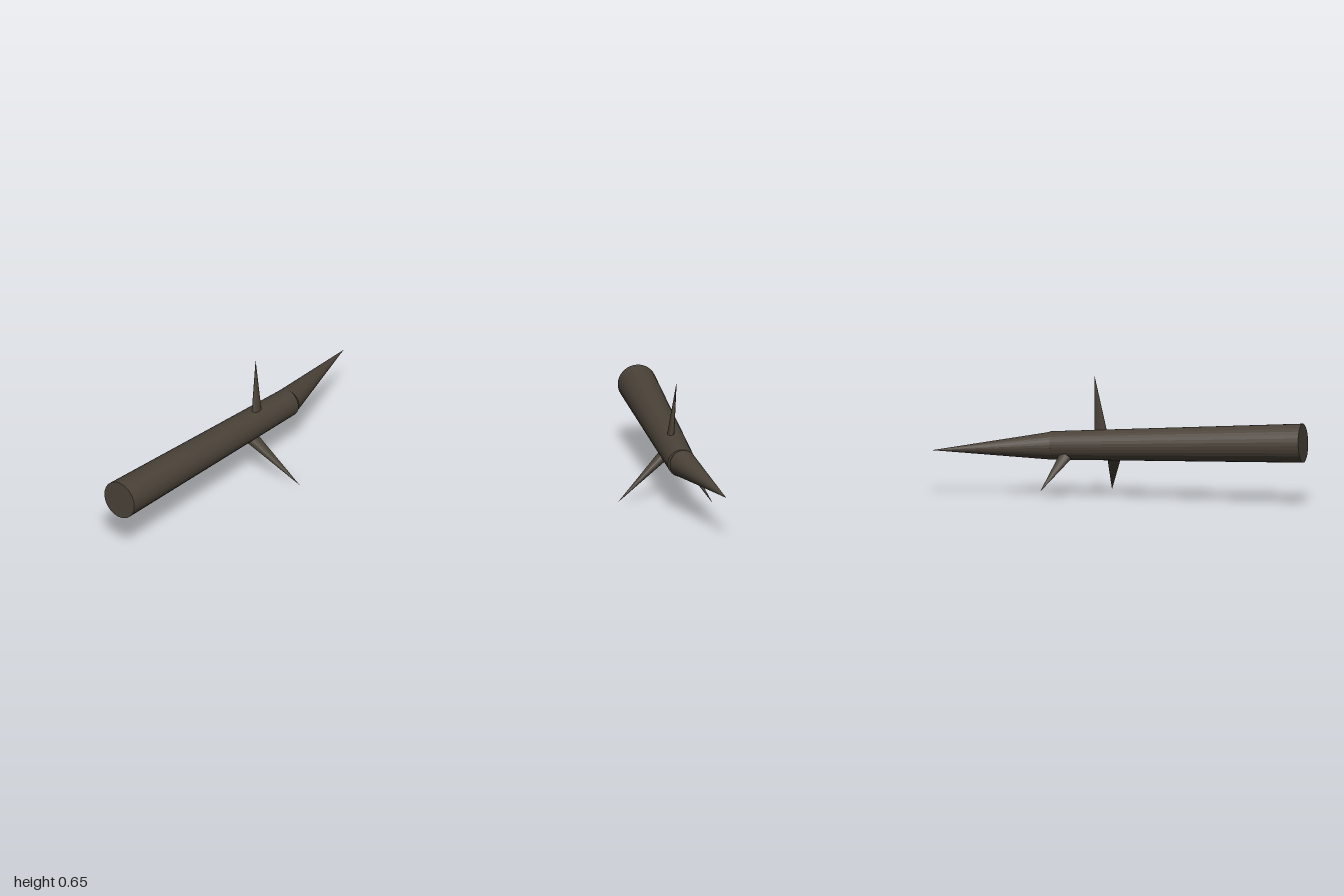
import * as THREE from 'three';

const bark = new THREE.MeshStandardMaterial({ color: 0x4a4238, flatShading: true });
bark.name = 'darkBark';

// Tapered round piece from point a to point b; its section is wide (along x) by deep.
function taper(name, a, b, startRadius, endRadius, sides, depth = 1) {
  const start = new THREE.Vector3(...a);
  const end = new THREE.Vector3(...b);
  const length = start.distanceTo(end);
  const geometry = endRadius > 0
    ? new THREE.CylinderGeometry(endRadius, startRadius, length, sides)
    : new THREE.ConeGeometry(startRadius, length, sides);
  geometry.scale(1, 1, depth);

  // Local y follows the axis, local x stays as close to the world x as it can
  const y = end.clone().sub(start).normalize();
  const guide = Math.abs(y.x) > 0.8 ? new THREE.Vector3(0, 0, 1) : new THREE.Vector3(1, 0, 0);
  const x = guide.addScaledVector(y, -guide.dot(y)).normalize();
  const z = new THREE.Vector3().crossVectors(x, y);
  const mesh = new THREE.Mesh(geometry, bark);
  mesh.name = name;
  mesh.quaternion.setFromRotationMatrix(new THREE.Matrix4().makeBasis(x, y, z));
  mesh.position.copy(start).add(end).multiplyScalar(0.5);
  return mesh;
}

export function createModel() {
  const model = new THREE.Group();
  model.name = 'thornedBranch';

  // Main shaft and its bent, pointed end
  model.add(taper('shaft', [-0.995, 0.337, -0.105], [0.38, 0.27, -0.062], 0.103, 0.075, 32));
  model.add(taper('pointedTip', [0.38, 0.269, -0.067], [0.997, 0.24, -0.174], 0.073, 0, 32));

  // Flattened thorns: base on the shaft, point, half width, depth ratio
  const thorns = [
    ['upperThorn', [0.111, 0.357, -0.058], [0.137, 0.651, -0.085], 0.034, 0.52],
    ['frontThorn', [0.047, 0.215, -0.02], [0.115, 0.001, 0.228], 0.037, 0.74],
    ['backThorn', [0.292, 0.217, -0.122], [0.4, 0.047, -0.225], 0.033, 0.55],
  ];
  for (const [name, base, point, radius, depth] of thorns) {
    // Sink each root slightly into the shaft
    const sink = 0.06;
    const root = base.map((v, i) => v + (v - point[i]) * sink);
    model.add(taper(name, root, point, radius * (1 + sink), 0, 20, depth));
  }
  return model;
}
